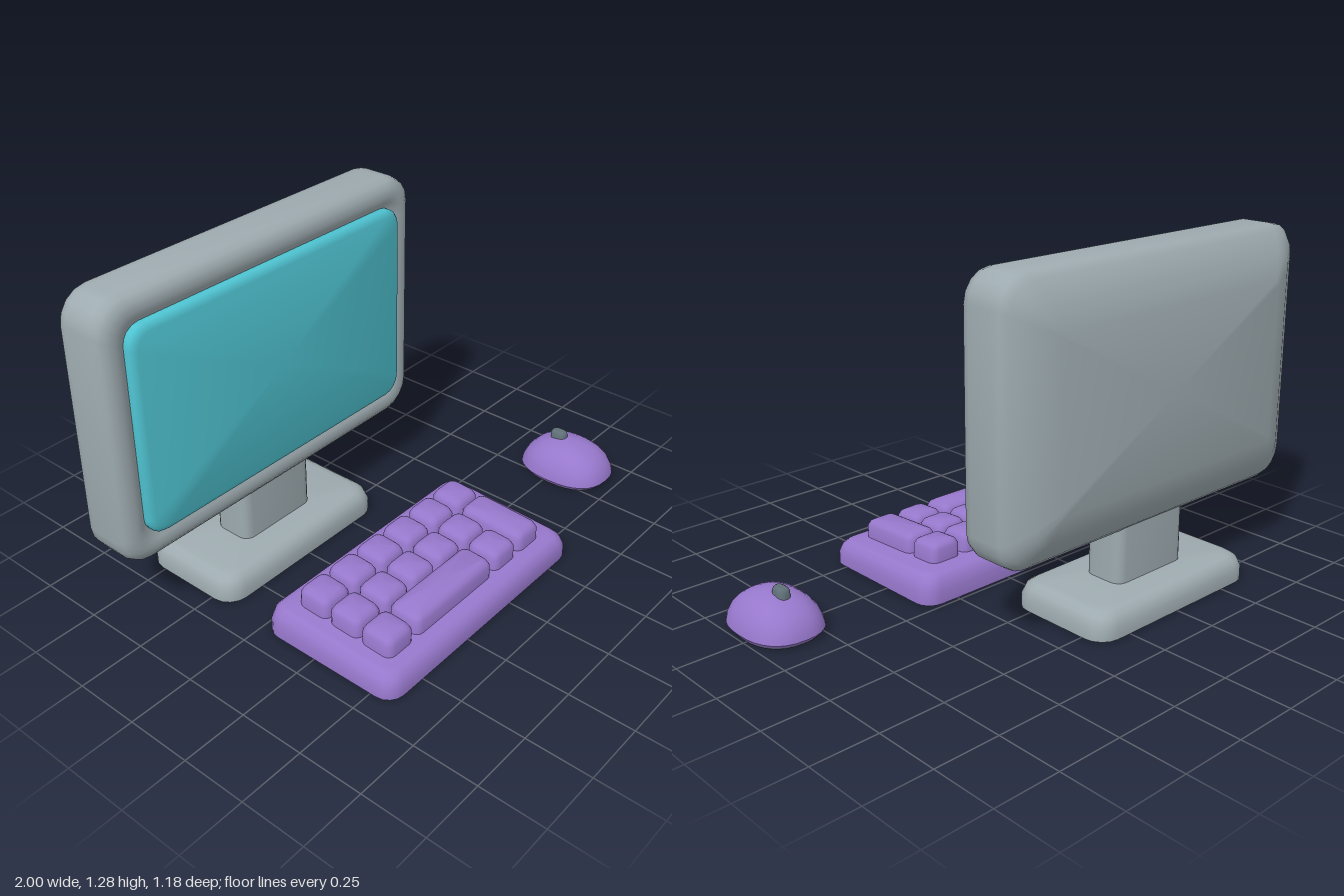
import * as THREE from 'three';
import { toCreasedNormals } from 'three/addons/utils/BufferGeometryUtils.js';

const mat = (name, color) => {
  const m = new THREE.MeshStandardMaterial({ color });
  m.name = name;
  return m;
};

// Rounded rectangle outline, counter-clockwise
function roundedRing(w, h, r, steps = 4) {
  const pts = [];
  const signs = [[1, 1], [-1, 1], [-1, -1], [1, -1]];
  signs.forEach(([sx, sy], c) => {
    for (let i = 0; i <= steps; i++) {
      const a = (c + i / steps) * Math.PI / 2;
      pts.push([sx * (w / 2 - r) + r * Math.cos(a), sy * (h / 2 - r) + r * Math.sin(a)]);
    }
  });
  return pts;
}

// Skin closed outlines stacked along +z, capped at both ends
function skin(rings, heights, crease = 0.7) {
  const n = rings[0].length, pos = [], idx = [];
  rings.forEach((ring, k) => ring.forEach(([x, y]) => pos.push(x, y, heights[k])));
  for (let k = 0; k < rings.length - 1; k++) {
    for (let i = 0; i < n; i++) {
      const a = k * n + i, b = k * n + (i + 1) % n;
      idx.push(a, b, b + n, a, b + n, a + n);
    }
  }
  const last = (rings.length - 1) * n, c0 = pos.length / 3;
  pos.push(0, 0, heights[0], 0, 0, heights[heights.length - 1]);
  for (let i = 0; i < n; i++) {
    const j = (i + 1) % n;
    idx.push(c0, j, i, c0 + 1, last + i, last + j);
  }
  const g = new THREE.BufferGeometry();
  g.setAttribute('position', new THREE.Float32BufferAttribute(pos, 3));
  g.setIndex(idx);
  return toCreasedNormals(g, crease);
}

// Rounded slab; each profile step is [height, inset]
function slab(w, h, r, profile, crease) {
  const rings = profile.map(([, d]) => roundedRing(w - 2 * d, h - 2 * d, Math.max(r - d * 0.5, 0.008)));
  return skin(rings, profile.map(p => p[0]), crease);
}

// Slab lying flat over the floor, from x and z ranges
function flatSlab(x0, x1, z0, z1, r, profile) {
  return slab(x1 - x0, z1 - z0, r, profile)
    .rotateX(-Math.PI / 2).translate((x0 + x1) / 2, 0, (z0 + z1) / 2);
}

// Change y by a rule, then refresh the normals
function reshapeY(g, rule) {
  const p = g.attributes.position;
  for (let i = 0; i < p.count; i++) p.setY(i, rule(p.getY(i), p.getZ(i)));
  return toCreasedNormals(g, 0.7);
}

export function createModel() {
  const model = new THREE.Group();
  model.name = 'desktopComputer';
  const grey = mat('casing grey', 0x9eabb0);
  const teal = mat('screen teal', 0x4ec2d0);
  const purple = mat('purple plastic', 0x9778cc);
  const dark = mat('dark grey', 0x607078);
  const group = name => {
    const g = new THREE.Group();
    g.name = name;
    model.add(g);
    return g;
  };
  const add = (parent, name, geo, material) => {
    const m = new THREE.Mesh(geo, material);
    m.name = name;
    parent.add(m);
  };

  // Monitor: tapered back, rounded front rim, shallow recess behind the screen
  const monitor = group('monitor');
  const casing = slab(1.47, 0.985, 0.11, [
    [-0.54, 0.188], [-0.51, 0.095], [-0.47, 0.025], [-0.445, 0.003], [-0.42, 0],
    [-0.31, 0], [-0.28, 0.008], [-0.264, 0.03], [-0.257, 0.055], [-0.263, 0.08], [-0.275, 0.1],
  ], 0.8);
  add(monitor, 'casing', casing.translate(-0.265, 0.7925, 0), grey);
  const screen = slab(1.28, 0.78, 0.07, [
    [-0.28, 0], [-0.252, 0], [-0.241, 0.008], [-0.235, 0.025],
  ], 0.8);
  add(monitor, 'screen', screen.translate(-0.265, 0.795, 0), teal);

  // Stand
  const stand = group('stand');
  add(stand, 'neck', flatSlab(-0.44, -0.09, -0.457, -0.29, 0.04, [[0.09, 0], [0.4, 0]]), grey);
  add(stand, 'base', flatSlab(-0.665, 0.14, -0.595, -0.155, 0.08, [
    [0, 0], [0.045, 0], [0.08, 0.014], [0.095, 0.035], [0.1, 0.06],
  ]), grey);

  // Keyboard deck, thicker towards the back
  const keyboard = group('keyboard');
  const deck = flatSlab(-0.665, 0.39, 0.015, 0.59, 0.065, [
    [0, 0], [0.045, 0], [0.08, 0.012], [0.098, 0.03], [0.103, 0.05],
  ]);
  add(keyboard, 'deck', reshapeY(deck, (y, z) => y * (1 + (0.3 - z) * 0.4)), purple);

  // Keys: column, row, columns spanned, rows spanned
  const keys = [];
  for (let c = 0; c < 6; c++) keys.push([c, 0, 1, 1]);
  for (let c = 0; c < 5; c++) keys.push([c, 1, 1, 1]);
  keys.push([0, 2, 1, 1], [1, 2, 3, 1], [4, 2, 1, 1], [5, 1, 1, 2]);
  const px = 0.1475, pz = 0.14, size = 0.133;
  keys.forEach(([c, r, nc, nr]) => {
    const x0 = -0.583 + c * px, z0 = 0.102 + r * pz;
    const key = flatSlab(x0, x0 + (nc - 1) * px + size, z0, z0 + (nr - 1) * pz + size, 0.03, [
      [0.085, 0], [0.15, 0], [0.167, 0.009], [0.175, 0.024],
    ]);
    add(keyboard, nc > 1 ? 'spaceBar' : nr > 1 ? 'enterKey' : 'key',
      reshapeY(key, (y, z) => y + (0.3 - z) * 0.05), purple);
  });

  // Mouse: domed shell on a dark sole, with a scroll wheel
  const mouse = group('mouse');
  mouse.position.set(0.8525, 0, 0.2775);
  const oval = s => Array.from({ length: 32 }, (_, i) => {
    const a = i / 32 * Math.PI * 2, p = 0.82;
    const f = v => Math.sign(v) * Math.abs(v) ** p;
    return [0.1475 * s * f(Math.cos(a)), 0.1875 * s * f(Math.sin(a))];
  });
  const dome = [[0.008, 0.95], [0.02, 1], [0.045, 0.965], [0.075, 0.88], [0.1, 0.75],
    [0.12, 0.59], [0.135, 0.39], [0.143, 0.18], [0.145, 0.05]];
  add(mouse, 'shell', skin(dome.map(d => oval(d[1])), dome.map(d => d[0])).rotateX(-Math.PI / 2), purple);
  add(mouse, 'sole', skin([oval(0.91), oval(0.95)], [0, 0.009]).rotateX(-Math.PI / 2), dark);
  add(mouse, 'scrollWheel', flatSlab(-0.023, 0.023, -0.082, -0.013, 0.02, [
    [0.1, 0], [0.155, 0], [0.166, 0.005], [0.171, 0.013],
  ]), dark);

  return model;
}
